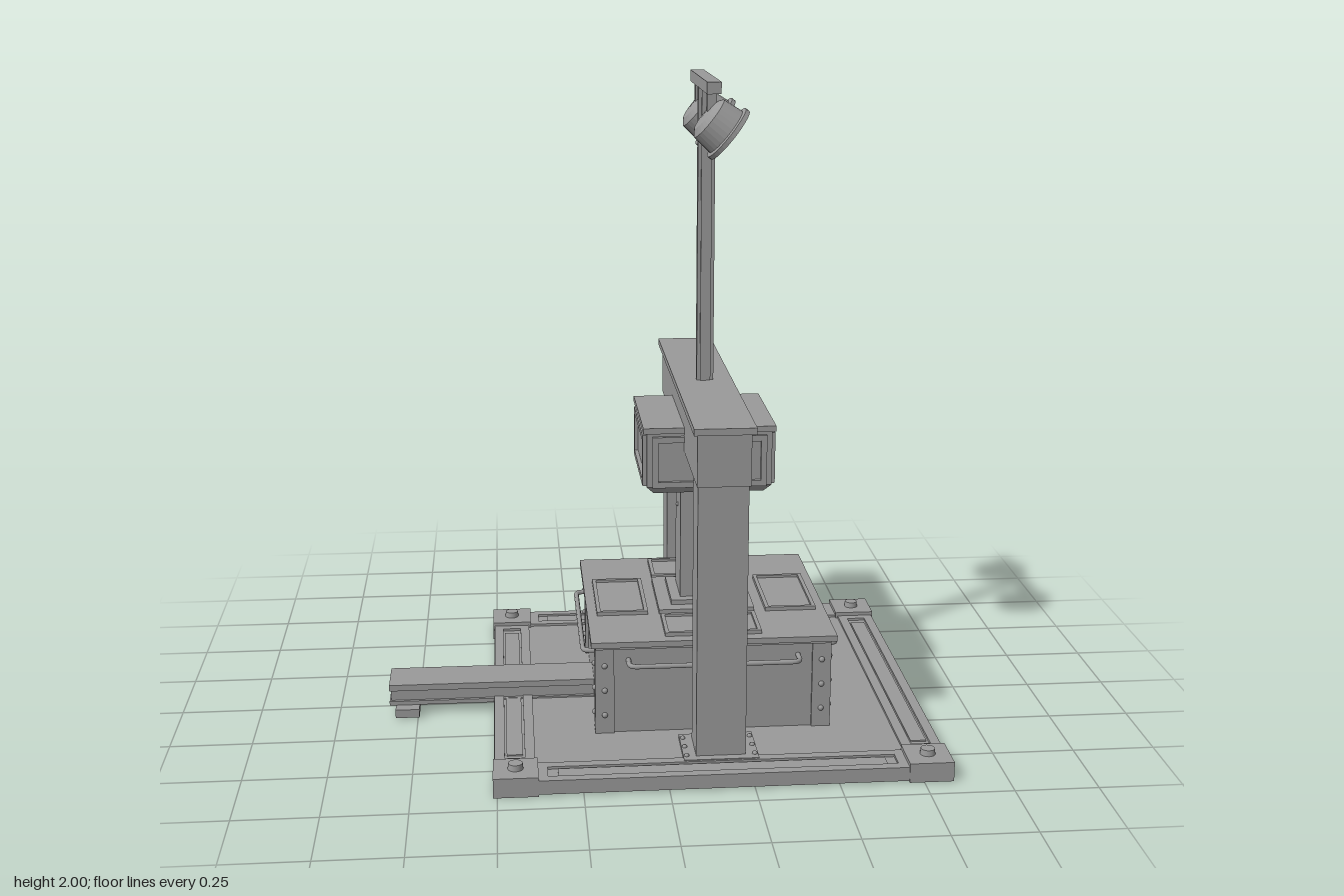
import * as THREE from 'three';

const CX = 0.163; // machine axis in x

export function createModel() {
  const root = new THREE.Group();
  const grey = new THREE.MeshStandardMaterial({ color: 0x999999 });
  const add = (name, geo, parent = root) => {
    const m = new THREE.Mesh(geo, grey);
    m.name = name;
    parent.add(m);
    return m;
  };
  // box from min/max ranges
  const box = (name, x0, x1, y0, y1, z0, z1, parent) => {
    const m = add(name, new THREE.BoxGeometry(x1 - x0, y1 - y0, z1 - z0), parent);
    m.position.set((x0 + x1) / 2, (y0 + y1) / 2, (z0 + z1) / 2);
    return m;
  };
  // rectangular frame standing in xy, facing +z
  const frameGeo = (w, h, t, d) => {
    const rect = (P, a, b) => new P([[-a, -b], [a, -b], [a, b], [-a, b]].map(p => new THREE.Vector2(...p)));
    const s = rect(THREE.Shape, w / 2, h / 2);
    s.holes.push(rect(THREE.Path, w / 2 - t, h / 2 - t));
    return new THREE.ExtrudeGeometry(s, { depth: d, bevelEnabled: false });
  };
  // frame lying flat on height y
  const flatFrame = (name, x, y, z, w, h, t, d) => {
    const m = add(name, frameGeo(w, h, t, d).rotateX(-Math.PI / 2));
    m.position.set(x, y, z);
  };
  const bolt = (name, x, y, z, r) => {
    const m = add(name, new THREE.SphereGeometry(r, 10, 6));
    m.position.set(x, y, z);
  };

  // base plate, edge strips and corner blocks
  box('basePlate', CX - 0.672, CX + 0.672, 0.005, 0.04, -0.672, 0.672);
  for (const s of [-1, 1]) {
    flatFrame('edgeStrip', CX, 0.04, s * 0.612, 1.09, 0.12, 0.03, 0.008);
    flatFrame('sideStrip', CX + s * 0.61, 0.04, 0, 0.12, 1.09, 0.03, 0.008);
    box('edgeInlay', CX - 0.485, CX + 0.485, 0.04, 0.044, s * 0.612 - 0.024, s * 0.612 + 0.024);
    box('sideInlay', CX + s * 0.61 - 0.024, CX + s * 0.61 + 0.024, 0.04, 0.044, -0.485, 0.485);
    for (const t of [-1, 1]) {
      const x = CX + s * 0.609, z = t * 0.609;
      box('cornerBlock', x - 0.066, x + 0.066, 0, 0.06, z - 0.066, z + 0.066);
      const b = add('cornerBolt', new THREE.CylinderGeometry(0.021, 0.023, 0.018, 16));
      b.position.set(x, 0.069, z);
    }
  }

  // cabinet with lid
  box('cabinet', CX - 0.352, CX + 0.352, 0.04, 0.325, -0.34, 0.34);
  box('lidLip', CX - 0.36, CX + 0.36, 0.315, 0.328, -0.355, 0.355);
  box('lid', CX - 0.375, CX + 0.375, 0.328, 0.346, -0.375, 0.375);
  for (const s of [-1, 1]) {
    box('lidSidePanel', CX + s * 0.265 - 0.075, CX + s * 0.265 + 0.075, 0.346, 0.35, -0.145, 0.145);
    flatFrame('lidSideFrame', CX + s * 0.265, 0.346, 0, 0.16, 0.3, 0.012, 0.012);
    box('lidEndPanel', CX - 0.14, CX + 0.14, 0.346, 0.35, s * 0.255 - 0.075, s * 0.255 + 0.075);
    flatFrame('lidEndFrame', CX, 0.346, s * 0.255, 0.295, 0.165, 0.012, 0.012);
    for (const t of [-1, 1]) {
      const x = CX + s * 0.333, z = t * 0.319;
      box('cornerBracket', x - 0.029, x + 0.029, 0.04, 0.318, z - 0.029, z + 0.029);
      for (const y of [0.1, 0.18, 0.26]) {
        bolt('bracketBolt', x, y, z + t * 0.029, 0.009);
        bolt('bracketBolt', x + s * 0.029, y, z, 0.009);
      }
    }
  }

  // U shaped grab rails round the cabinet
  const rail = (half, near, far, angle) => {
    const c = 0.025, path = new THREE.CurvePath(), v = (x, z) => new THREE.Vector3(x, 0, z);
    path.add(new THREE.LineCurve3(v(-half, near), v(-half, far - c)));
    path.add(new THREE.QuadraticBezierCurve3(v(-half, far - c), v(-half, far), v(c - half, far)));
    path.add(new THREE.LineCurve3(v(c - half, far), v(half - c, far)));
    path.add(new THREE.QuadraticBezierCurve3(v(half - c, far), v(half, far), v(half, far - c)));
    path.add(new THREE.LineCurve3(v(half, far - c), v(half, near)));
    const m = add('grabRail', new THREE.TubeGeometry(path, 60, 0.008, 8));
    m.position.set(CX, 0.275, 0);
    m.rotation.y = angle;
  };
  for (const s of [0, 1]) {
    rail(0.26, 0.33, 0.396, s * Math.PI);
    rail(0.255, 0.345, 0.394, Math.PI / 2 + s * Math.PI);
  }
  box('cabinetPull', CX + 0.35, CX + 0.36, 0.213, 0.228, -0.047, 0.047);
  const boss = add('roundBoss', new THREE.CylinderGeometry(0.063, 0.07, 0.055, 24));
  boss.position.set(0.48, 0.067, 0);

  // pedestal
  box('pedestalPlate', CX - 0.15, CX + 0.15, 0.346, 0.36, -0.15, 0.15);
  box('pedestalFoot', CX - 0.108, CX + 0.108, 0.36, 0.375, -0.108, 0.108);
  box('pedestal', CX - 0.077, CX + 0.077, 0.375, 0.76, -0.077, 0.077);
  for (const s of [-1, 1]) bolt('pedestalBolt', CX + s * 0.077, 0.655, -0.01, 0.007);

  // arch over the pedestal
  const arch = new THREE.Shape();
  arch.moveTo(0.37, 0);
  arch.absarc(0, 0, 0.37, 0, Math.PI, false);
  arch.lineTo(-0.37, -0.035);
  arch.lineTo(-0.317, -0.035);
  arch.lineTo(-0.317, 0);
  arch.absarc(0, 0, 0.317, Math.PI, 0, true);
  arch.lineTo(0.317, -0.035);
  arch.lineTo(0.37, -0.035);
  const archGeo = new THREE.ExtrudeGeometry(arch, { depth: 0.07, bevelEnabled: false, curveSegments: 32 });
  archGeo.translate(0, 0, -0.035).rotateY(Math.PI / 2);
  add('arch', archGeo).position.set(CX, 0.381, 0);

  // gantry columns, beam and cap
  for (const s of [-1, 1]) {
    const zc = s * 0.485;
    box('columnFoot', CX - 0.112, CX + 0.112, 0.04, 0.05, zc - 0.09, zc + 0.09);
    box('column', CX - 0.074, CX + 0.074, 0.05, 0.89, zc - 0.064, zc + 0.064);
    box('archPeg', CX - 0.02, CX + 0.02, 0.383, 0.412, s > 0 ? 0.36 : -0.43, s > 0 ? 0.43 : -0.36);
    for (const t of [-1, 1]) for (const dz of [-0.06, 0, 0.06]) bolt('footBolt', CX + t * 0.102, 0.05, zc + dz, 0.008);
  }
  box('beam', CX - 0.078, CX + 0.078, 0.887, 1.045, -0.565, 0.565);
  box('beamCap', CX - 0.09, CX + 0.09, 1.045, 1.065, -0.585, 0.585);

  // press head with framed faces and tapered underside
  box('head', CX - 0.192, CX + 0.192, 0.775, 0.945, -0.192, 0.192);
  box('headCap', CX - 0.203, CX + 0.203, 0.945, 0.963, -0.2, 0.2);
  const taper = add('headTaper', new THREE.CylinderGeometry(0.192 * Math.SQRT2, 0.17 * Math.SQRT2, 0.025, 4, 1)
    .rotateY(Math.PI / 4).toNonIndexed());
  taper.geometry.computeVertexNormals();
  taper.position.set(CX, 0.7625, 0);
  for (let i = 0; i < 4; i++) {
    const side = new THREE.Group();
    side.name = 'headSide';
    side.position.set(CX, 0.855, 0);
    side.rotation.y = i * Math.PI / 2;
    add('headFrame', frameGeo(0.35, 0.16, 0.018, 0.014), side).position.z = 0.19;
    root.add(side);
  }

  // lamp mast and crossbar
  box('mast', CX - 0.022, CX + 0.03, 1.065, 1.967, -0.012, 0.012);
  box('mastCore', CX - 0.012, CX + 0.02, 1.065, 1.967, -0.018, 0.018);
  box('lampBar', CX - 0.021, CX + 0.021, 1.965, 2, -0.235, 0.235);

  // two tilted floodlights, lens at the open end
  const lampProfile = [[0, -0.058], [0.05, -0.053], [0.07, -0.038], [0.077, 0.025], [0.09, 0.028],
    [0.09, 0.042], [0.078, 0.042], [0.076, 0.034], [0, 0.038]].map(p => new THREE.Vector2(...p));
  const aim = new THREE.Vector3(0.78, -0.62, 0).normalize();
  for (const s of [-1, 1]) {
    const lamp = add('floodlight', new THREE.LatheGeometry(lampProfile, 28).toNonIndexed());
    lamp.geometry.computeVertexNormals();
    lamp.quaternion.setFromUnitVectors(new THREE.Vector3(0, 1, 0), aim);
    lamp.position.set(0.186, 1.865, s * 0.163);
    box('lampBracket', CX - 0.014, CX + 0.014, 1.91, 1.97, s * 0.163 - 0.015, s * 0.163 + 0.015);
  }

  // outrigger arm and foot
  box('armBody', -0.835, -0.18, 0.037, 0.085, -0.06, 0.06);
  box('armCap', -0.84, -0.18, 0.08, 0.1, -0.07, 0.07);
  box('armBase', -0.84, -0.18, 0.032, 0.045, -0.07, 0.07);
  box('armFoot', -0.82, -0.745, 0.005, 0.032, -0.108, 0.108);
  return root;
}
